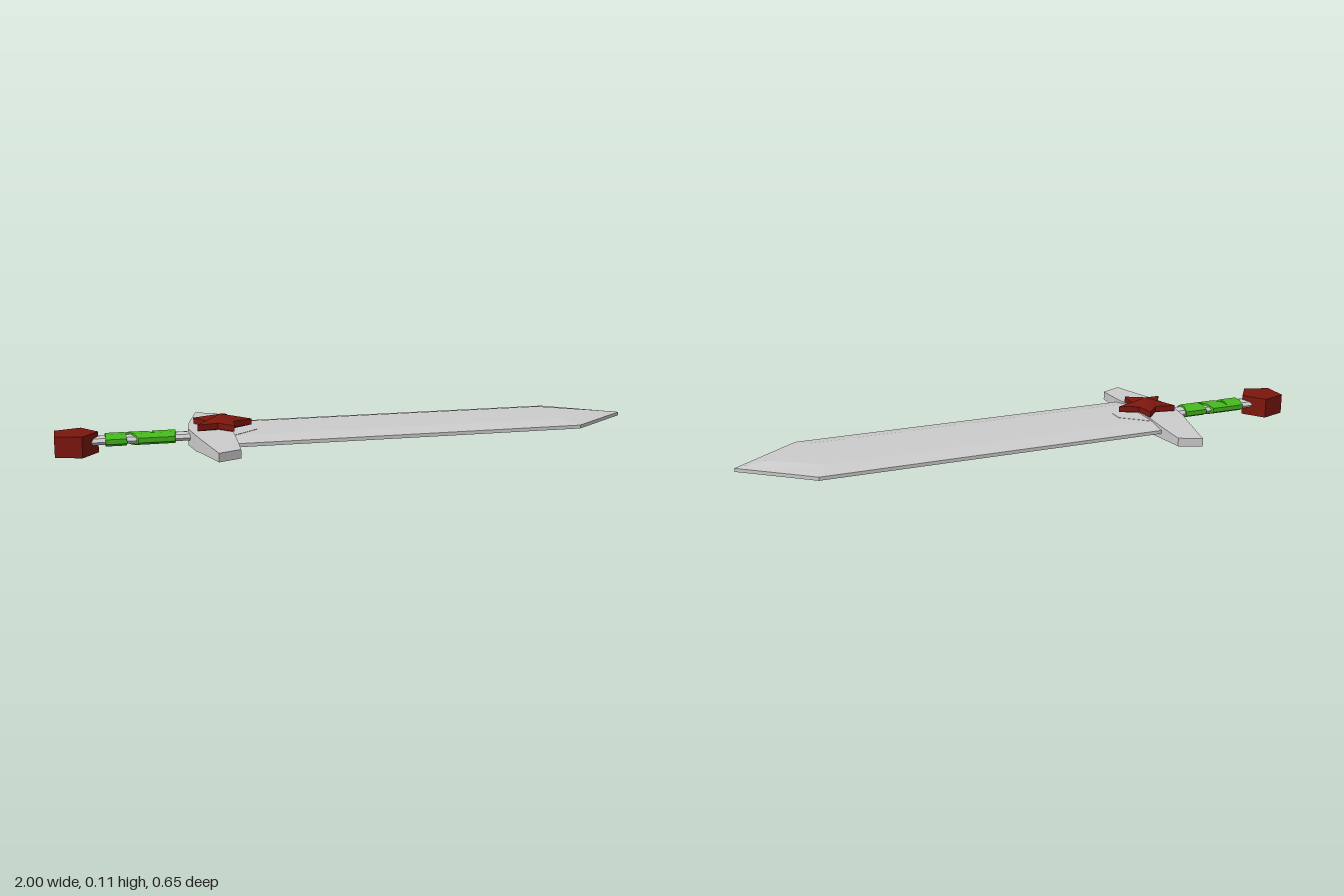
import * as THREE from 'three';
import { toCreasedNormals } from 'three/addons/utils/BufferGeometryUtils.js';

const paint = (color) => new THREE.MeshStandardMaterial({ color });

// Faceted solid through matching rings of [x, y, z], closed with fans around each end's centre
function loft(rings, topPoint) {
  const pos = [];
  const tri = (...p) => p.forEach((v) => pos.push(...v));
  const mid = (r) => [0, 1, 2].map((k) => r.reduce((s, p) => s + p[k], 0) / r.length);
  const n = rings[0].length, first = rings[0], last = rings[rings.length - 1];
  const lo = mid(first), hi = topPoint || mid(last);
  for (let j = 0; j < n; j++) {
    const k = (j + 1) % n;
    for (let i = 0; i + 1 < rings.length; i++) {
      const a = rings[i], b = rings[i + 1];
      tri(a[j], b[j], a[k]);
      tri(a[k], b[j], b[k]);
    }
    tri(lo, first[j], first[k]);
    tri(hi, last[k], last[j]);
  }
  const g = new THREE.BufferGeometry();
  g.setAttribute('position', new THREE.Float32BufferAttribute(pos, 3));
  g.computeVertexNormals();
  return g;
}

// Horizontal ring from [x, z] points at height y
const level = (pts, y) => pts.map(([x, z]) => [x, y, z]);

// Regular points around (cx, 0), first one pointing to +x; radii alternate
const around = (cx, count, ...radii) => Array.from({ length: count }, (_, i) => {
  const a = (i / count) * Math.PI * 2, r = radii[i % radii.length];
  return [cx + r * Math.cos(a), r * Math.sin(a)];
});

// Sword-shaped outline: butt, shoulder and tip
const outline = (butt, shoulder, tip, w) =>
  [[tip, 0], [shoulder, w], [butt, w], [butt, -w], [shoulder, -w]];

export function createModel() {
  const group = new THREE.Group();
  const steel = paint(0xcccccc), red = paint(0x7c160d), green = paint(0x46b81e);
  const add = (name, geometry, material) => {
    const mesh = new THREE.Mesh(geometry, material);
    mesh.name = name;
    group.add(mesh);
  };

  // Blade with a bevel running round its edge
  const edge = outline(-0.47, 0.77, 1, 0.178), flat = outline(-0.47, 0.73, 0.9, 0.11);
  add('blade', loft([level(flat, 0.022), level(edge, 0.033),
    level(edge, 0.045), level(flat, 0.057)]), steel);

  // Crossguard: sections along z as [z at back, z at front, x back, x front, y low, y high]
  const half = [
    [0.11, 0.11, -0.55, -0.425, 0.01, 0.063],
    [0.15, 0.15, -0.541, -0.425, 0.014, 0.06],
    [0.28, 0.25, -0.514, -0.428, 0.021, 0.054],
    [0.325, 0.29, -0.505, -0.43, 0.023, 0.052],
  ];
  const mirrored = half.map(([a, b, ...rest]) => [-a, -b, ...rest]).reverse();
  const sections = [...mirrored, [0, 0, -0.565, -0.425, 0.008, 0.064], ...half];
  add('crossguard', loft(sections.map(([zb, zf, xb, xf, lo, hi]) =>
    [[xf, hi, zf], [xf, lo, zf], [xb, lo, zb], [xb, hi, zb]])), steel);

  // Tongue of the guard lying almost flush with the blade
  const tongue = [[-0.335, -0.03], [-0.335, 0.03], [-0.426, 0.11], [-0.5, 0.11],
    [-0.5, -0.11], [-0.426, -0.11]];
  add('guardTongue', loft([level(tongue, 0.02), level(tongue, 0.058)]), steel);

  // Star ornament: tapered underside, straight rim, softly raised centre
  const star = around(-0.455, 10, 0.105, 0.05), foot = around(-0.455, 10, 0.04, 0.019);
  add('starOrnament', toCreasedNormals(loft([level(foot, 0.057), level(star, 0.068),
    level(star, 0.088)], [-0.455, 0.11, 0]), 0.9), red);

  // Grip core
  const grip = new THREE.CylinderGeometry(0.034, 0.034, 0.36, 8).toNonIndexed();
  grip.rotateZ(Math.PI / 2).scale(1, 0.45, 1).translate(-0.71, 0.04, 0);
  grip.computeVertexNormals();
  add('grip', grip, steel);

  // Wrapped bands: [x start, start slant, x end, end slant]
  [[-0.837, 0, -0.772, 0.1], [-0.755, 0.6, -0.69, 0.6], [-0.68, 0.1, -0.607, -0.12]]
    .forEach(([x0, k0, x1, k1], i) => {
      const ring = (x, k) => Array.from({ length: 8 }, (_, j) => {
        const a = ((j + 0.5) / 8) * Math.PI * 2, z = -0.043 * Math.sin(a);
        return [x + k * z, 0.041 + 0.021 * Math.cos(a), z];
      });
      add('gripWrap' + (i + 1), loft([ring(x0, k0), ring(x1, k1)]), green);
    });

  // Five-sided pommel
  const pommel = around(-0.937, 5, 0.078);
  add('pommel', loft([level(pommel, 0), level(pommel, 0.07)]), red);

  return group;
}
